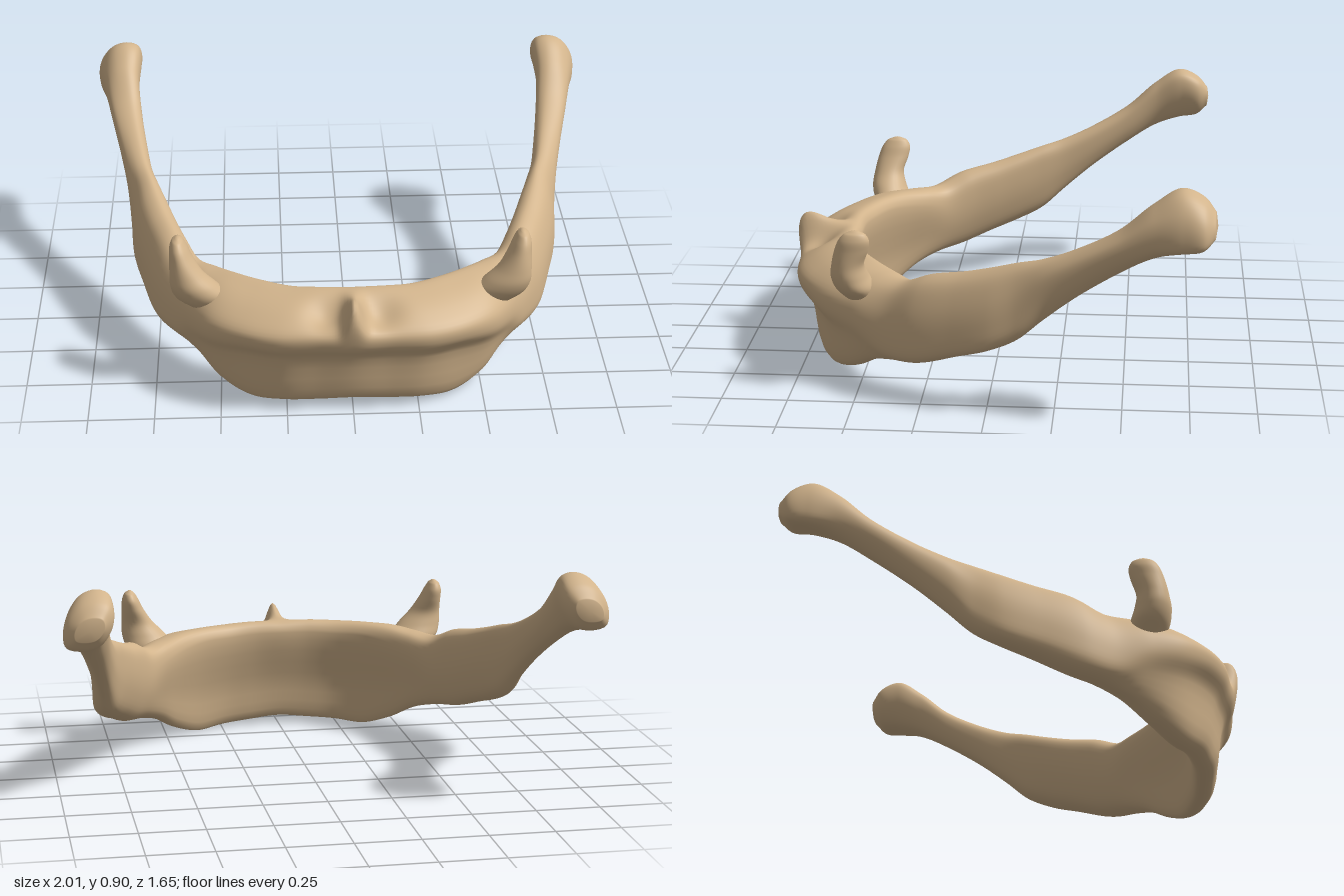
import * as THREE from 'three';

// Half of the arch, from the middle to the rear tip:
// inner x, inner z, outer x, outer z, bottom y, top y, profile (0 body, 1 horn, 2 shaft)
const STATIONS = [
  [0, 0.56, 0, 0.815, 0.035, 0.46, 0],
  [0.12, 0.557, 0.13, 0.8, 0.025, 0.46, 0],
  [0.22, 0.535, 0.29, 0.785, 0.015, 0.455, 0],
  [0.33, 0.485, 0.42, 0.735, 0.005, 0.455, 0],
  [0.42, 0.42, 0.54, 0.65, 0.04, 0.455, 0.2],
  [0.5, 0.34, 0.62, 0.53, 0.1, 0.445, 0.5],
  [0.57, 0.26, 0.68, 0.41, 0.13, 0.44, 0.9],
  [0.62, 0.17, 0.755, 0.29, 0.15, 0.485, 1],
  [0.665, 0.06, 0.81, 0.13, 0.2, 0.515, 1],
  [0.7, -0.03, 0.845, 0, 0.24, 0.545, 1],
  [0.735, -0.12, 0.856, -0.11, 0.29, 0.575, 1.2],
  [0.765, -0.21, 0.872, -0.21, 0.375, 0.6, 1.8],
  [0.79, -0.33, 0.9, -0.33, 0.475, 0.65, 2],
  [0.815, -0.48, 0.94, -0.48, 0.58, 0.735, 2],
  [0.828, -0.6, 0.97, -0.6, 0.65, 0.84, 1.5],
  [0.82, -0.7, 0.995, -0.7, 0.68, 0.9, 1],
  [0.825, -0.78, 1.0, -0.775, 0.695, 0.87, 1],
  [0.86, -0.822, 0.965, -0.818, 0.735, 0.82, 1],
];

// Cross-sections as (inner to outer, bottom to top), from the inner top edge outward
const BODY = [[0, 0.9], [0.1, 1], [0.4, 0.98], [0.72, 0.9], [0.96, 0.78],
  [0.95, 0.66], [0.77, 0.5], [0.6, 0.04], [0.33, 0], [0.2, 0.38]];
const HORN = [[0, 0.68], [0.08, 0.92], [0.33, 1], [0.65, 0.92], [0.9, 0.66],
  [1, 0.34], [0.95, 0.08], [0.66, 0], [0.3, 0.08], [0.07, 0.36]];
const SHAFT = [[0, 0.6], [0.07, 0.86], [0.3, 1], [0.65, 0.98], [0.93, 0.84],
  [1, 0.6], [0.87, 0.26], [0.56, 0], [0.25, 0.05], [0.05, 0.3]];

// Closed skin over a list of rings, with a shallow dome on each end
function loft(rings) {
  const n = rings[0].length, last = rings.length - 1;
  const pos = [], index = [];
  rings.forEach((ring) => ring.forEach((p) => pos.push(p.x, p.y, p.z)));
  const middle = (ring) => ring.reduce((s, p) => s.add(p), new THREE.Vector3()).divideScalar(n);
  for (const [end, next] of [[0, 1], [last, last - 1]]) {
    const c = middle(rings[end]);
    c.addScaledVector(c.clone().sub(middle(rings[next])), 2);
    pos.push(c.x, c.y, c.z);
  }
  const first = rings.length * n;
  for (let j = 0; j < n; j++) {
    const k = (j + 1) % n;
    for (let i = 0; i < last; i++) {
      const a = i * n + j, b = i * n + k;
      index.push(a, b, a + n, b, b + n, a + n);
    }
    index.push(j, first, k, last * n + j, last * n + k, first + 1);
  }
  const g = new THREE.BufferGeometry();
  g.setAttribute('position', new THREE.Float32BufferAttribute(pos, 3));
  g.setIndex(index);
  g.computeVertexNormals();
  return g;
}

const bell = (d, width) => Math.exp(-((d / width) ** 2));

// Middle ridge with a shallow hollow on either side, on the upper front of the body
function sculpt(p) {
  const upper = THREE.MathUtils.smoothstep(p.y, 0.3, 0.4);
  const front = THREE.MathUtils.smoothstep(p.z, 0.56, 0.66);
  const ridge = bell(p.x, 0.035) * bell(p.z - 0.78, 0.1) * 0.1;
  const hollow = bell(Math.abs(p.x) - 0.1, 0.07) * bell(p.z - 0.71, 0.06) * 0.035;
  p.y += upper * front * (ridge - hollow);
  p.z += bell(p.x, 0.035) * upper * front * 0.02;
  return p;
}

function archGeometry() {
  const section = ([xi, zi, xo, zo, yb, yt, kind], side) => BODY.map((_, j) => {
    const [from, to, w] = kind > 1 ? [HORN, SHAFT, kind - 1] : [BODY, HORN, kind];
    const u = THREE.MathUtils.lerp(from[j][0], to[j][0], w);
    const v = THREE.MathUtils.lerp(from[j][1], to[j][1], w);
    return new THREE.Vector3(side * (xi + (xo - xi) * u), yb + (yt - yb) * v, zi + (zo - zi) * u);
  });
  const sections = [
    ...STATIONS.slice(1).reverse().map((s) => section(s, -1)),
    ...STATIONS.map((s) => section(s, 1)),
  ];
  const rails = BODY.map((_, j) => new THREE.CatmullRomCurve3(sections.map((s) => s[j])));
  const steps = (sections.length - 1) * 12, rings = [];
  for (let i = 0; i <= steps; i++) {
    const loop = new THREE.CatmullRomCurve3(rails.map((r) => r.getPoint(i / steps)), true);
    rings.push(Array.from({ length: 48 }, (_, k) => sculpt(loop.getPoint(k / 48))));
  }
  return loft(rings);
}

// Small upright horn, flaring into the body: y, centre x, centre z, radius in x, radius in z
const LESSER = [
  [0.3, 0.53, 0.49, 0.03, 0.03],
  [0.35, 0.545, 0.495, 0.065, 0.055],
  [0.4, 0.564, 0.512, 0.1, 0.074],
  [0.45, 0.592, 0.528, 0.088, 0.07],
  [0.5, 0.617, 0.53, 0.064, 0.061],
  [0.56, 0.636, 0.513, 0.044, 0.063],
  [0.6, 0.645, 0.502, 0.034, 0.058],
  [0.627, 0.648, 0.498, 0.021, 0.04],
  [0.638, 0.647, 0.497, 0.008, 0.015],
];

function lesserHornGeometry(side) {
  const centre = new THREE.CatmullRomCurve3(LESSER.map(([y, x, z]) => new THREE.Vector3(side * x, y, z)));
  const radius = new THREE.CatmullRomCurve3(LESSER.map((s) => new THREE.Vector3(s[3], s[0], s[4])));
  const rings = [];
  for (let i = 0; i <= 48; i++) {
    const c = centre.getPoint(i / 48), r = radius.getPoint(i / 48);
    rings.push(Array.from({ length: 28 }, (_, k) => {
      const a = (k / 28) * Math.PI * 2;
      return new THREE.Vector3(c.x + r.x * Math.cos(a), c.y, c.z - r.z * Math.sin(a));
    }));
  }
  return loft(rings);
}

export function createModel() {
  const bone = new THREE.MeshStandardMaterial({ color: 0xd2b48c });
  bone.name = 'bone';
  const group = new THREE.Group();
  group.name = 'archedBone';
  const add = (name, geometry) => {
    const mesh = new THREE.Mesh(geometry, bone);
    mesh.name = name;
    group.add(mesh);
  };
  add('bodyAndGreaterHorns', archGeometry());
  add('leftLesserHorn', lesserHornGeometry(1));
  add('rightLesserHorn', lesserHornGeometry(-1));
  return group;
}
